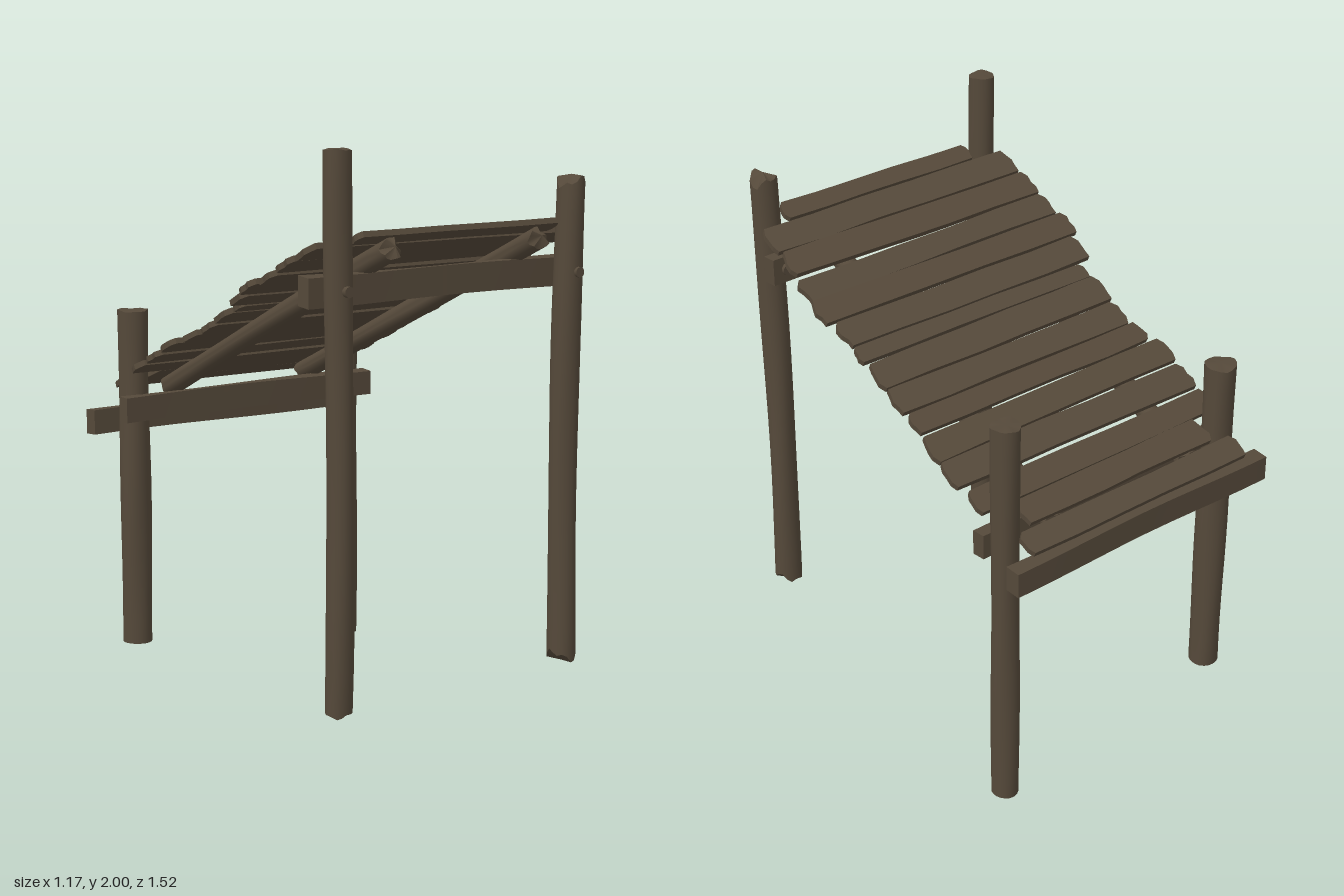
import * as THREE from 'three';
import { toCreasedNormals } from 'three/addons/utils/BufferGeometryUtils.js';

// small seeded random, returns -1..1
function makeRandom(seed) {
  let s = seed;
  return () => {
    s = (s * 16807) % 2147483647;
    return (s / 2147483647) * 2 - 1;
  };
}

// round log along y from 0 to length, gently crooked, with rough ends
function logGeometry(radius, length, { roughTop = 0.01, roughBottom = 0, bend = 0.006, phase = 0 } = {}) {
  const g = new THREE.CylinderGeometry(radius, radius, length, 18, 14);
  g.translate(0, length / 2, 0);
  const p = g.attributes.position;
  for (let i = 0; i < p.count; i++) {
    let x = p.getX(i), y = p.getY(i), z = p.getZ(i);
    const t = y / length;
    const r = Math.hypot(x, z), a = Math.atan2(z, x);
    const swell = 1 + 0.035 * Math.sin(t * 9 + phase) + 0.025 * Math.sin(3 * a + t * 7 + phase);
    const jag = 0.5 + 0.3 * Math.sin(2 * a + phase) + 0.2 * Math.sin(5 * a + phase * 2);
    if (t > 0.999) y -= roughTop * jag * (r / radius);
    if (t < 0.001) y += roughBottom * jag * (r / radius);
    x = x * swell + bend * Math.sin(t * 5 + phase);
    z = z * swell + bend * Math.sin(t * 4 + phase * 1.7);
    p.setXYZ(i, x, y, z);
  }
  return toCreasedNormals(g, 0.7);
}

// squared timber along x, with slightly uneven faces
function beamGeometry(x0, x1, y0, y1, z0, z1, phase) {
  const g = new THREE.BoxGeometry(x1 - x0, y1 - y0, z1 - z0, 10, 1, 1);
  const p = g.attributes.position;
  for (let i = 0; i < p.count; i++) {
    const x = p.getX(i);
    p.setY(i, p.getY(i) + 0.004 * Math.sin(x * 5 + phase + p.getZ(i) * 30));
    p.setZ(i, p.getZ(i) + 0.003 * Math.sin(x * 7 + phase));
  }
  g.translate((x0 + x1) / 2, (y0 + y1) / 2, (z0 + z1) / 2);
  return toCreasedNormals(g, 0.6);
}

// flat board with wavy edges and split ends; top faces +y
function plankGeometry(x0, x1, width, thickness, rnd) {
  const h = width / 2, pts = [], n = 5;
  for (let i = 0; i <= n; i++) {
    const inset = i === 0 || i === n ? 0.02 : 0;
    pts.push([x0 + ((x1 - x0) * i) / n + (i === 0 ? inset : -inset), -h + 0.003 * rnd()]);
  }
  for (const f of [-0.5, 0, 0.5]) pts.push([x1 - 0.007 + 0.007 * rnd(), f * h]);
  for (let i = n; i >= 0; i--) {
    const inset = i === 0 ? 0.015 : i === n ? -0.012 : 0;
    pts.push([x0 + ((x1 - x0) * i) / n + inset, h + 0.003 * rnd()]);
  }
  for (const f of [0.5, 0, -0.5]) pts.push([x0 + 0.007 + 0.007 * rnd(), f * h]);
  const shape = new THREE.Shape(pts.map(([x, y]) => new THREE.Vector2(x, y)));
  const g = new THREE.ExtrudeGeometry(shape, { depth: thickness, bevelEnabled: false });
  g.rotateX(-Math.PI / 2);
  return g;
}

export function createModel() {
  const group = new THREE.Group();
  const wood = new THREE.MeshStandardMaterial({ color: 0x55493a });
  wood.name = 'weathered wood';
  const rnd = makeRandom(41);

  const add = (parent, name, geometry, x = 0, y = 0, z = 0) => {
    const m = new THREE.Mesh(geometry, wood);
    m.name = name;
    m.position.set(x, y, z);
    parent.add(m);
    return m;
  };

  // corner posts: name, x, z, bottom, top, radius, rough top, rough bottom
  const posts = [
    ['frontRightPost', -0.462, 0.68, 0.18, 2.0, 0.045, 0.008, 0.02],
    ['frontLeftPost', 0.486, 0.68, 0.2, 1.885, 0.049, 0.05, 0.05],
    ['backRightPost', -0.456, -0.615, 0.12, 1.365, 0.055, 0.01, 0],
    ['backLeftPost', 0.486, -0.61, 0, 1.48, 0.048, 0.01, 0],
  ];
  posts.forEach(([name, x, z, y0, y1, r, roughTop, roughBottom], i) => {
    const bend = z > 0 ? 0.005 : 0.001;
    add(group, name, logGeometry(r, y1 - y0, { roughTop, roughBottom, bend, phase: i * 1.9 }), x, y0, z);
  });

  // cross beams tying the posts together
  add(group, 'frontBeam', beamGeometry(-0.545, 0.54, 1.505, 1.602, 0.575, 0.632, 0));
  add(group, 'backInnerBeam', beamGeometry(-0.545, 0.54, 0.97, 1.06, -0.563, -0.51, 1));
  add(group, 'backOuterBeam', beamGeometry(-0.59, 0.53, 0.905, 0.995, -0.728, -0.668, 2));

  // pegs through the front posts
  for (const x of [-0.462, 0.486]) {
    const peg = new THREE.CylinderGeometry(0.018, 0.022, 0.18, 10);
    peg.rotateX(Math.PI / 2);
    add(group, 'peg', peg, x, 1.56, 0.65);
  }

  // sloping deck, built flat and then tilted
  const slope = Math.atan(0.46), c = Math.cos(slope);
  const deck = new THREE.Group();
  deck.name = 'deck';
  deck.position.y = 1.354;
  deck.rotation.x = -slope;
  group.add(deck);

  // two round rails under the planks
  [-0.29, 0.312].forEach((x, i) => {
    const g = logGeometry(0.038, 1.39 / c, { roughTop: 0.045, roughBottom: 0.02, bend: 0.003, phase: 2 + i });
    g.rotateX(Math.PI / 2);
    add(deck, 'rail', g, x, 0, -0.65 / c);
  });

  // planks: back edge z, front edge z, right end x, left end x
  const planks = [
    [-0.757, -0.675, -0.465, 0.495], [-0.66, -0.572, -0.395, 0.433],
    [-0.567, -0.482, -0.505, 0.553], [-0.467, -0.367, -0.5, 0.573],
    [-0.36, -0.264, -0.505, 0.567], [-0.25, -0.174, -0.475, 0.553],
    [-0.165, -0.071, -0.455, 0.557], [-0.065, 0.038, -0.467, 0.557],
    [0.042, 0.102, -0.455, 0.565], [0.11, 0.21, -0.515, 0.558],
    [0.22, 0.311, -0.545, 0.582], [0.318, 0.409, -0.535, 0.57],
    [0.42, 0.519, -0.535, 0.555], [0.527, 0.628, -0.53, 0.555],
    [0.635, 0.7, -0.4, 0.433],
  ];
  for (const [z0, z1, x0, x1] of planks) {
    const g = plankGeometry(x0, x1, (z1 - z0) / c, 0.02, rnd);
    const m = add(deck, 'plank', g, 0, 0.04 + 0.004 * rnd(), ((z0 + z1) / 2 + 0.021) / c);
    m.rotation.set(0.03 * rnd(), 0.008 * rnd(), 0.004 * rnd());
  }

  return group;
}
